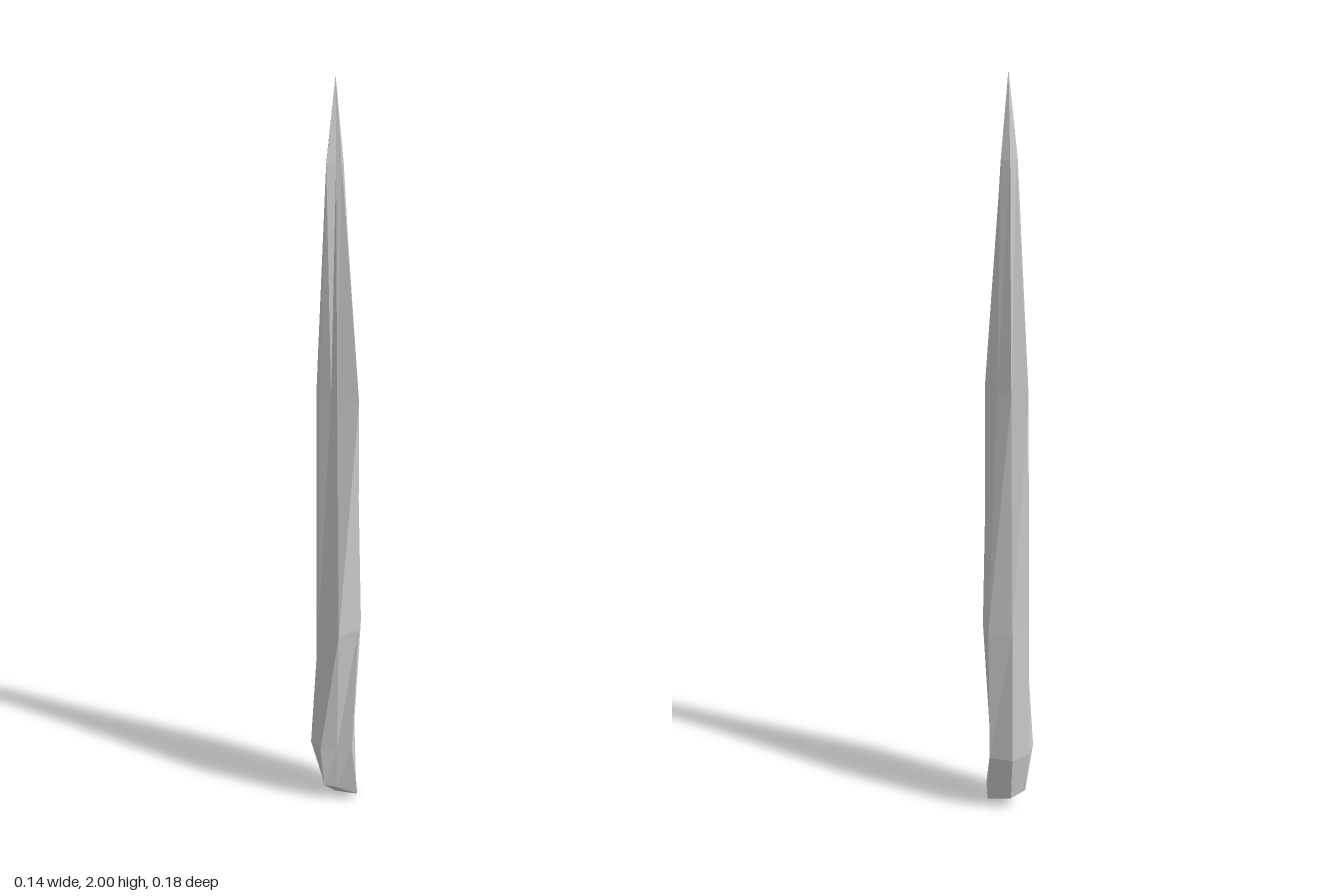
import * as THREE from 'three';

// Cross-sections from foot to shoulder: height and the radius in eight directions,
// turning from +x (left) through +z (front), -x (right) and -z (back).
const RINGS = [
  { y: [0.005, 0.025, 0.04, 0.045, 0.055, 0.05, 0.035, 0.03], r: [0.06, 0.08, 0.04, 0.05, 0.04, 0.06, 0.055, 0.055] },
  { y: 0.17, r: [0.05, 0.06, 0.042, 0.066, 0.07, 0.072, 0.086, 0.085] },
  { y: 0.55, r: [0.07, 0.08, 0.092, 0.07, 0.046, 0.07, 0.08, 0.088] },
  { y: 1.2, r: [0.055, 0.078, 0.045, 0.018, 0.043, 0.065, 0.056, 0.048] },
  { y: 1.79, r: [0.018, 0.02, 0.014, 0.035, 0.023, 0.024, 0.033, 0.031] },
];
const SIDES = 8;
const AXIS_Z = -0.004;

function ringPoint(ring, j) {
  const k = j % SIDES;
  const a = (k / SIDES) * Math.PI * 2;
  const y = Array.isArray(ring.y) ? ring.y[k] : ring.y;
  return [Math.cos(a) * ring.r[k], y, AXIS_Z + Math.sin(a) * ring.r[k]];
}

function shardGeometry() {
  const tip = [0, 2, AXIS_Z];
  const foot = [0, 0, AXIS_Z];
  const last = RINGS[RINGS.length - 1];
  const positions = [];
  const tri = (...corners) => corners.forEach((c) => positions.push(...c));

  for (let j = 0; j < SIDES; j++) {
    // Blunt foot
    tri(foot, ringPoint(RINGS[0], j), ringPoint(RINGS[0], j + 1));
    // Long side facets
    for (let i = 0; i < RINGS.length - 1; i++) {
      const a = ringPoint(RINGS[i], j);
      const b = ringPoint(RINGS[i], j + 1);
      const c = ringPoint(RINGS[i + 1], j + 1);
      const d = ringPoint(RINGS[i + 1], j);
      tri(a, d, b);
      tri(b, d, c);
    }
    // Pointed tip
    tri(ringPoint(last, j), tip, ringPoint(last, j + 1));
  }
  const geometry = new THREE.BufferGeometry();
  geometry.setAttribute('position', new THREE.Float32BufferAttribute(positions, 3));
  geometry.computeVertexNormals();
  return geometry;
}

export function createModel() {
  const group = new THREE.Group();
  group.name = 'spike';
  const material = new THREE.MeshStandardMaterial({ color: 0xcccccc, flatShading: true });
  const shard = new THREE.Mesh(shardGeometry(), material);
  shard.name = 'shard';
  group.add(shard);
  return group;
}
